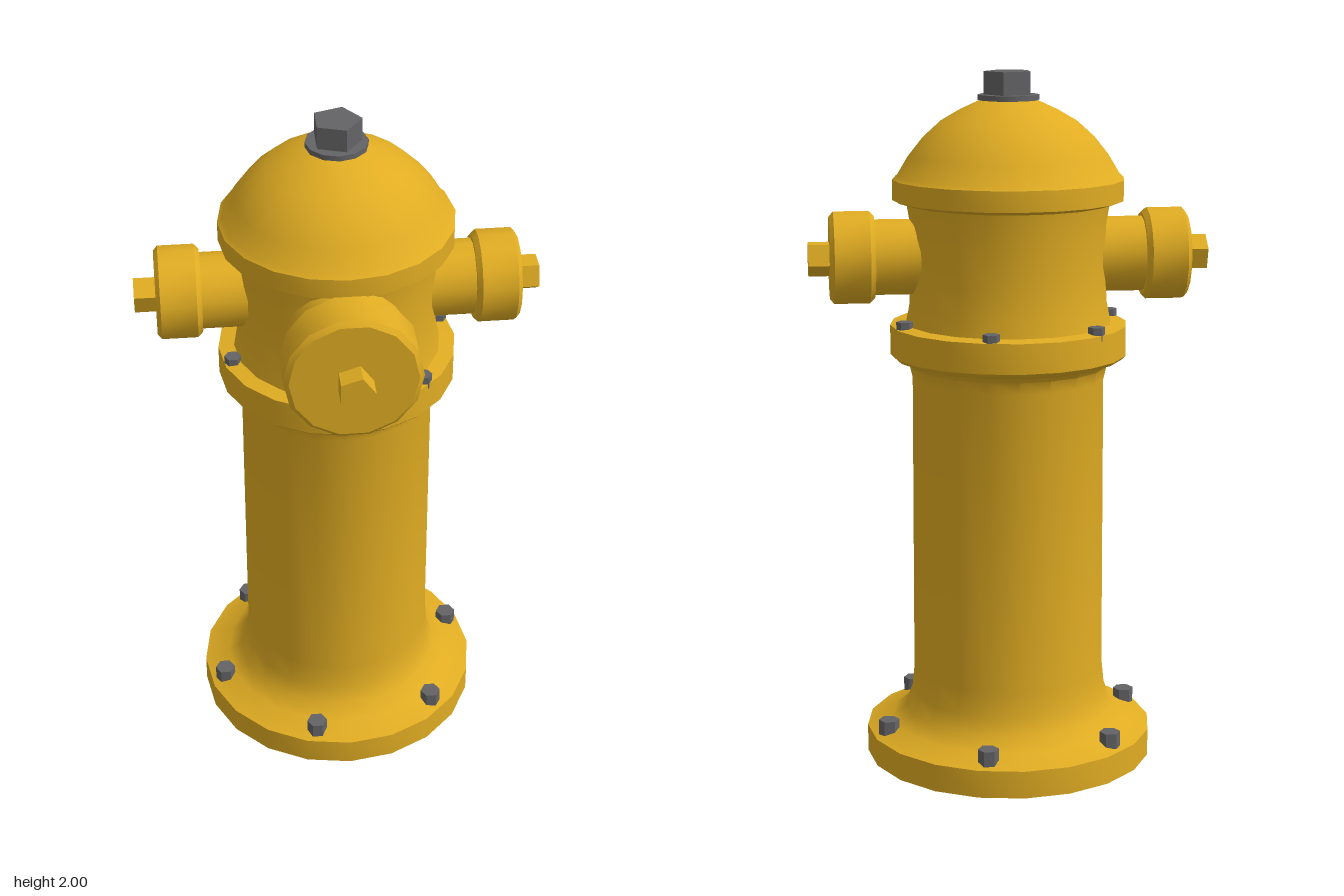
import * as THREE from 'three';
import { toCreasedNormals } from 'three/addons/utils/BufferGeometryUtils.js';

export function createModel() {
  const yellow = new THREE.MeshStandardMaterial({ color: 0xe0ac22, side: THREE.DoubleSide });
  yellow.name = 'yellow paint';
  const grey = new THREE.MeshStandardMaterial({ color: 0x646466 });
  grey.name = 'grey metal';

  const model = new THREE.Group();
  model.name = 'fireHydrant';
  const column = new THREE.Group();
  column.name = 'column';
  column.position.z = -0.06;
  model.add(column);

  function add(parent, name, geometry, material, x = 0, y = 0, z = 0) {
    const mesh = new THREE.Mesh(geometry, material);
    mesh.name = name;
    mesh.position.set(x, y, z);
    parent.add(mesh);
    return mesh;
  }

  // Turned part: profile of [radius, height] pairs, hard edges kept sharp
  function turned(profile, sides, start = 0) {
    const points = profile.map(([r, y]) => new THREE.Vector2(r, y));
    return toCreasedNormals(new THREE.LatheGeometry(points, sides, start), 0.6);
  }

  // Faceted nut or bolt standing on its base, one corner toward +x
  function nut(radius, height, sides) {
    const geometry = new THREE.CylinderGeometry(radius, radius, height, sides, 1, false, Math.PI / 2);
    geometry.translate(0, height / 2, 0);
    return toCreasedNormals(geometry, 0.6);
  }

  // Foot flange, open underneath, flowing into the barrel
  add(column, 'barrel', turned([
    [0.42, 0], [0.42, 0.08], [0.345, 0.105], [0.305, 0.14], [0.287, 0.19], [0.28, 0.26],
    [0.277, 1.13], [0.285, 1.165], [0.3, 1.18],
  ], 20), yellow);

  // Bolted collar and upper barrel
  add(column, 'collar', turned([
    [0.3, 1.18], [0.33, 1.19], [0.34, 1.2], [0.34, 1.285], [0.295, 1.29],
  ], 20), yellow);
  add(column, 'upperBarrel', turned([
    [0.295, 1.29], [0.285, 1.34], [0.28, 1.42], [0.28, 1.57], [0.29, 1.63],
  ], 20), yellow);

  // Domed bonnet with its rim
  add(column, 'bonnet', turned([
    [0.27, 1.63], [0.29, 1.63], [0.33, 1.642], [0.33, 1.7], [0.318, 1.71], [0.285, 1.765],
    [0.245, 1.815], [0.195, 1.86], [0.14, 1.892], [0.075, 1.922], [0, 1.93],
  ], 20), yellow);
  add(column, 'topWasher', nut(0.087, 0.015, 12), grey, 0, 1.92, 0);
  add(column, 'topNut', nut(0.07, 0.07, 5), grey, 0, 1.93, 0);

  // Bolt rings on the foot flange and the collar
  function boltRing(name, ringRadius, y, boltRadius, height) {
    for (let i = 0; i < 6; i++) {
      const angle = Math.PI / 4 + (i * Math.PI) / 3;
      add(column, name, nut(boltRadius, height, 6), grey,
        ringRadius * Math.cos(angle), y, ringRadius * Math.sin(angle));
    }
  }
  boltRing('footBolt', 0.375, 0.085, 0.03, 0.045);
  boltRing('collarBolt', 0.314, 1.27, 0.024, 0.037);

  // Outlet built along +y from the column axis: neck, chamfered cap, five-sided nut
  function outlet(name, neckRadius, capRadius, capStart, capEnd, chamfer) {
    const group = new THREE.Group();
    group.name = name;
    group.position.y = 1.48;
    add(group, 'neck', turned([[neckRadius, 0.2], [neckRadius, capStart + 0.01]], 14, Math.PI / 2), yellow);
    add(group, 'cap', turned([
      [neckRadius * 0.9, capStart], [capRadius - chamfer, capStart], [capRadius, capStart + chamfer],
      [capRadius, capEnd - 0.012], [capRadius - 0.014, capEnd], [0, capEnd],
    ], 14, Math.PI / 2), yellow);
    add(group, 'capNut', nut(0.052, 0.065, 5), yellow, 0, capEnd - 0.005, 0);
    column.add(group);
    return group;
  }
  outlet('leftOutlet', 0.108, 0.132, 0.383, 0.51, 0.014).rotation.z = -Math.PI / 2;
  outlet('rightOutlet', 0.108, 0.132, 0.383, 0.51, 0.014).rotation.z = Math.PI / 2;
  outlet('frontOutlet', 0.155, 0.189, 0.335, 0.48, 0.018).rotation.x = Math.PI / 2;

  return model;
}
